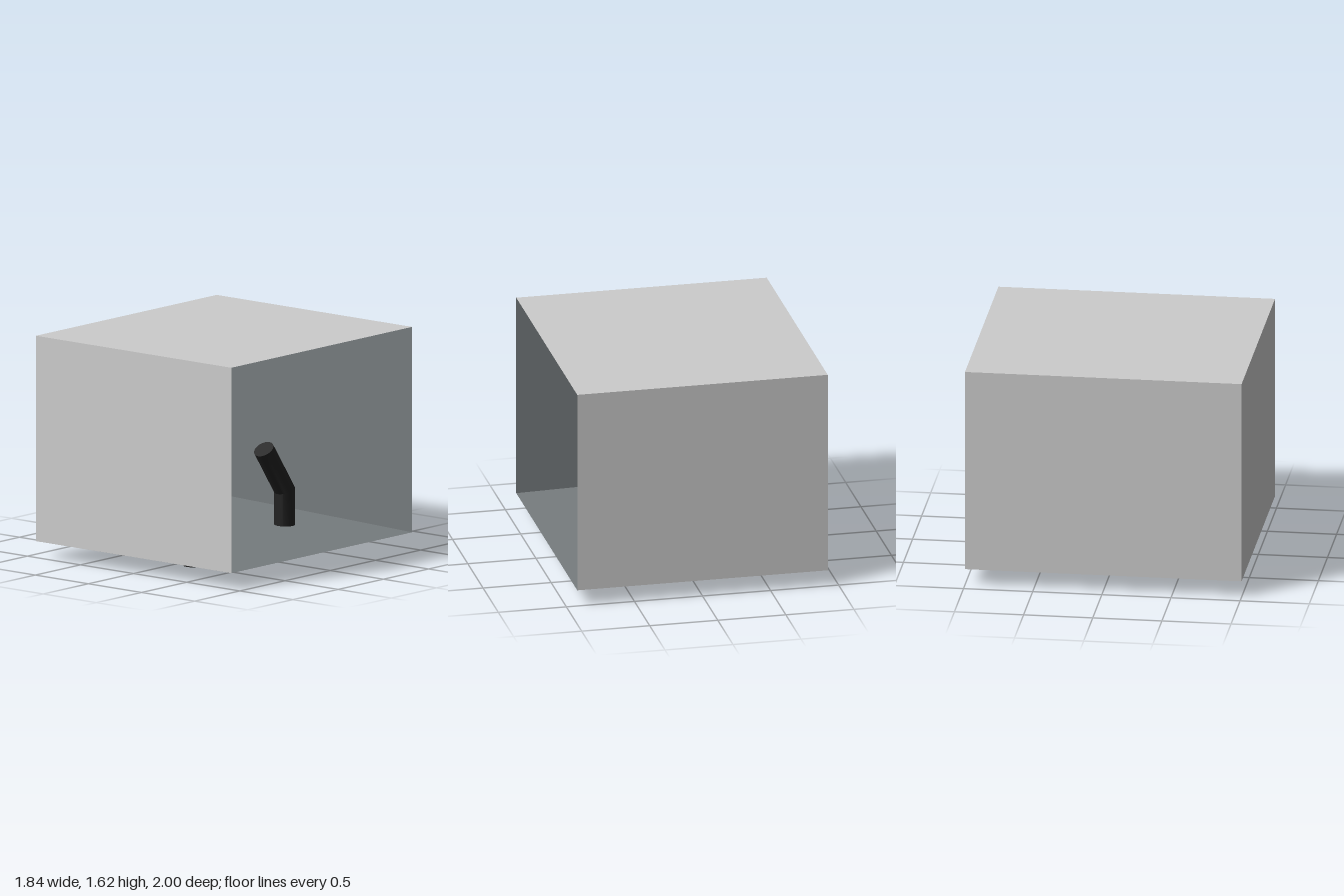
import * as THREE from 'three';
import { toCreasedNormals } from 'three/addons/utils/BufferGeometryUtils.js';

const mat = (name, color) => {
  const m = new THREE.MeshStandardMaterial({ color });
  m.name = name;
  return m;
};

// Rectangle in the plane x, shrunk by inset, counter-clockwise seen from +x
function rect(x, inset) {
  const z = 1 - inset, lo = 0.12 + inset, hi = 1.62 - inset;
  return [[x, lo, z], [x, lo, -z], [x, hi, -z], [x, hi, z]];
}

// Four side walls between two rectangles, plus the far end; the +x side stays open
function openBox(near, far, inward) {
  const quads = [inward ? far : [...far].reverse()];
  for (let i = 0; i < 4; i++) {
    const j = (i + 1) % 4;
    const q = [near[i], far[i], far[j], near[j]];
    quads.push(inward ? q.reverse() : q);
  }
  const points = quads.flatMap(([a, b, c, d]) => [a, b, c, a, c, d]).flat();
  const geo = new THREE.BufferGeometry();
  geo.setAttribute('position', new THREE.Float32BufferAttribute(points, 3));
  geo.computeVertexNormals();
  return geo;
}

// Upright pipe with a mitred elbow leaning towards local +x
function bentPipe(openBottom) {
  const r = 0.075, sides = 32, elbowY = 0.405, lean = 0.228, rise = 0.328;
  const t = Math.atan2(lean, rise);
  const geo = new THREE.CylinderGeometry(r, r, 2, sides, 2);
  const p = geo.attributes.position;
  for (let i = 0; i < p.count; i++) {
    const u = p.getX(i), level = Math.round(p.getY(i));
    if (level < 0) p.setY(i, 0);
    else if (level === 0) p.setY(i, elbowY - u * Math.tan(t / 2));
    else {
      p.setX(i, lean + u * Math.cos(t));
      p.setY(i, elbowY + rise - u * Math.sin(t));
    }
  }
  if (openBottom) { // the last triangles are the bottom cap
    const index = Array.from(geo.index.array);
    geo.setIndex(index.slice(0, index.length - sides * 3));
  }
  geo.clearGroups();
  return toCreasedNormals(geo, 0.5);
}

export function createModel() {
  const group = new THREE.Group();
  const shellGrey = mat('light grey shell', 0xcccccc);
  const liningGrey = mat('slate grey lining', 0x767c7e);
  const pipeBlack = mat('black pipe', 0x222222);

  const add = (name, geo, material) => {
    const mesh = new THREE.Mesh(geo, material);
    mesh.name = name;
    group.add(mesh);
    return mesh;
  };

  // Straight outer casing and a lining that tapers from the open rim
  const rim = rect(0.92, 0);
  add('outerCasing', openBox(rim, rect(-0.92, 0), false), shellGrey);
  add('innerLining', openBox(rim, rect(-0.855, 0.067), true), liningGrey);

  // Three bent pipes through the floor, all leaning towards the middle
  const pipes = [
    ['frontPipe', 0.13, 0.49, Math.PI / 2, true],
    ['backPipe', 0.13, -0.515, -Math.PI / 2, true],
    ['middlePipe', -0.295, 0, 0, false],
  ];
  for (const [name, x, z, turn, openBottom] of pipes) {
    const pipe = add(name, bentPipe(openBottom), pipeBlack);
    pipe.position.set(x, 0, z);
    pipe.rotation.y = turn;
  }
  return group;
}
